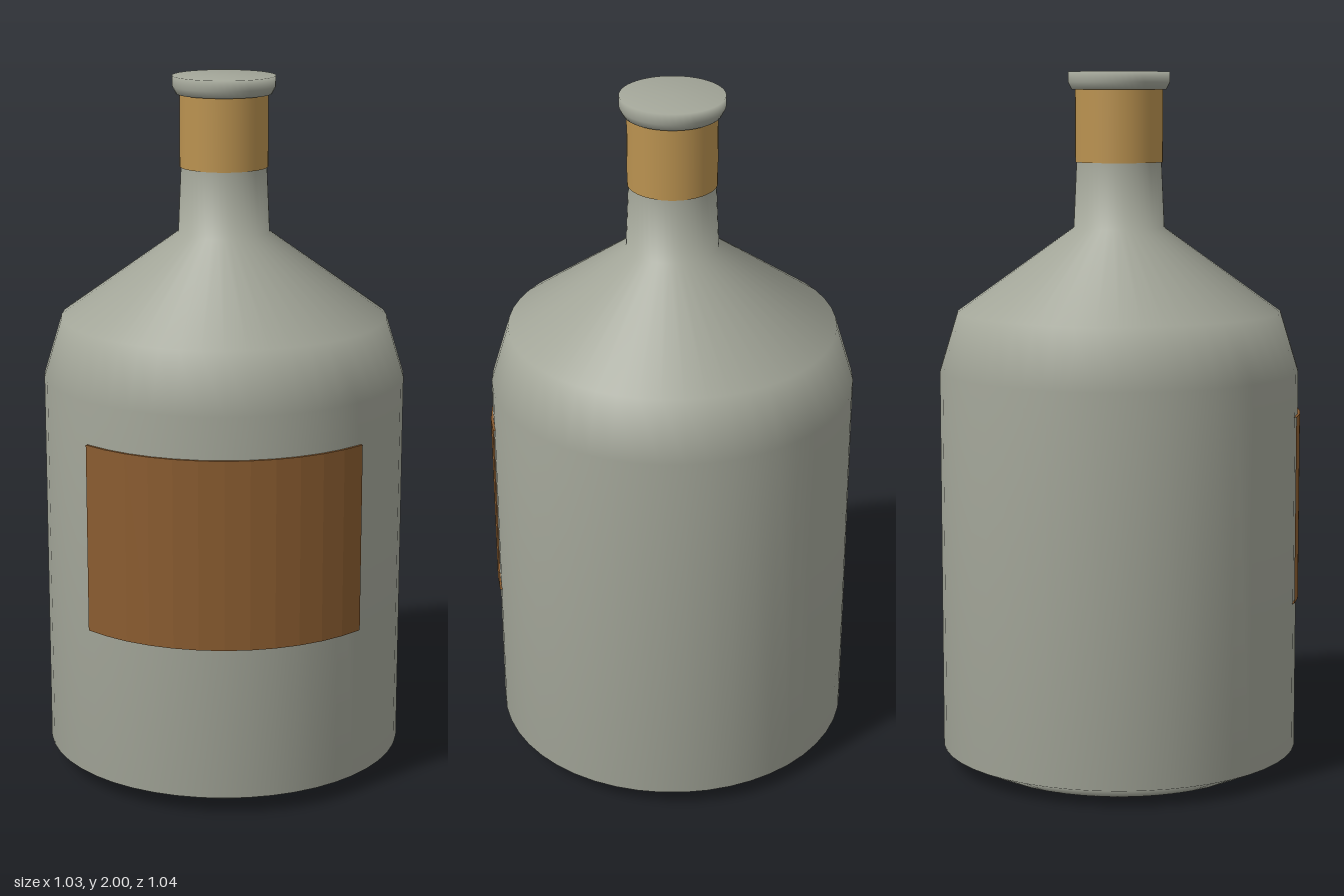
import * as THREE from 'three';

const SEGMENTS = 48;

// Revolved part from [radius, height] pairs, listed from bottom to top
function revolve(name, profile, material, segments = SEGMENTS, start = 0, sweep = Math.PI * 2) {
  const points = profile.map(([r, y]) => new THREE.Vector2(r, y));
  const mesh = new THREE.Mesh(new THREE.LatheGeometry(points, segments, start, sweep), material);
  mesh.name = name;
  return mesh;
}

export function createModel() {
  const glass = new THREE.MeshStandardMaterial({ color: 0xa3a699 });
  glass.name = 'grey glass';
  const cork = new THREE.MeshStandardMaterial({ color: 0xba9250 });
  cork.name = 'cork tan';
  const paper = new THREE.MeshStandardMaterial({ color: 0x8a5c30, flatShading: true, side: THREE.DoubleSide });
  paper.name = 'label brown';

  const bottle = new THREE.Group();
  bottle.name = 'bottle';

  // Body with chamfered base, sloped shoulder and slim neck
  bottle.add(revolve('body', [
    [0, 0], [0.41, 0], [0.517, 0.05], [0.517, 1.15],
    [0.465, 1.32], [0.13, 1.56], [0.121, 1.76],
  ], glass));

  // Stopper plug
  bottle.add(revolve('stopper', [
    [0, 1.745], [0.125, 1.745], [0.125, 1.745], [0.125, 1.96],
  ], cork));

  // Flared cap on the stopper
  bottle.add(revolve('cap', [
    [0.12, 1.95], [0.135, 1.95], [0.145, 1.97], [0.145, 2], [0, 2],
  ], glass));

  // Curved label wrapped around the front
  const half = 0.812;
  bottle.add(revolve('label', [
    [0.515, 0.49], [0.524, 0.49], [0.524, 1.03], [0.515, 1.03],
  ], paper, 12, -half, half * 2));

  return bottle;
}
